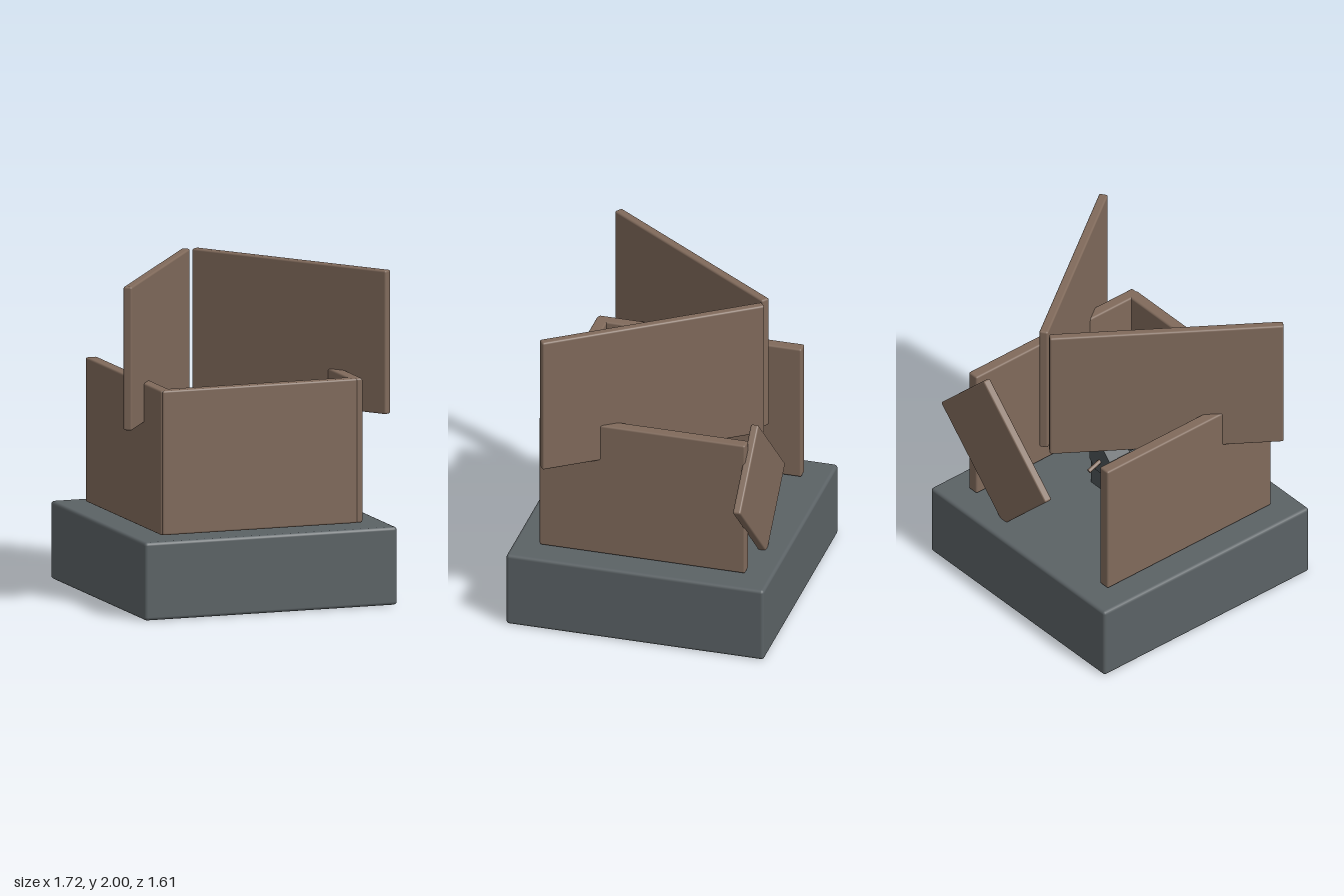
import * as THREE from 'three';
import { RoundedBoxGeometry } from 'three/addons/geometries/RoundedBoxGeometry.js';

export function createModel() {
  const group = new THREE.Group();
  const material = (name, color, flat = false) => {
    const m = new THREE.MeshStandardMaterial({ color, flatShading: flat });
    m.name = name;
    return m;
  };
  const stone = material('stone', 0x5b6265);
  const wood = material('wood', 0x806a5b);
  const iron = material('iron', 0x4c5356, true);

  const add = (name, geometry, mat, x, y, z) => {
    const mesh = new THREE.Mesh(geometry, mat);
    mesh.name = name;
    mesh.position.set(x, y, z);
    group.add(mesh);
    return mesh;
  };
  const slab = (name, mat, size, pos, r = 0.012) =>
    add(name, new RoundedBoxGeometry(...size, 2, r), mat, ...pos);

  // Foundation
  slab('foundation', stone, [1.62, 0.475, 1.61], [-0.008, 0.2375, -0.003], 0.02);

  // Three walls, open at the back, standing just above the foundation
  slab('rightWall', wood, [0.075, 0.88, 1.285], [-0.618, 0.925, -0.003]);
  slab('leftWall', wood, [0.075, 0.88, 1.285], [0.603, 0.925, -0.003]);
  slab('frontWall', wood, [1.25, 0.88, 0.075], [-0.02, 0.925, 0.608]);

  // Two upright roof panels meeting in a V at the back
  for (const side of [-1, 1]) {
    const panel = slab(side < 0 ? 'rightRoofPanel' : 'leftRoofPanel', wood,
      [1.41, 0.875, 0.055], [side * 0.432 - 0.008, 1.5625, -0.003]);
    panel.rotation.y = -side * THREE.MathUtils.degToRad(55);
  }

  // Door leaning across the back opening
  slab('door', wood, [0.82, 0.566, 0.05], [0.37, 0.93, -0.655]).rotation.z = Math.PI / 4;

  // Machine stand with chamfered shoulders
  const profile = new THREE.Shape([
    [-0.232, 0], [0.232, 0], [0.232, 0.21], [0.143, 0.3], [-0.143, 0.3], [-0.232, 0.21],
  ].map(p => new THREE.Vector2(...p)));
  const stand = new THREE.ExtrudeGeometry(profile, { depth: 0.065, bevelEnabled: false });
  add('stand', stand, iron, -0.01, 0.47, -0.035);

  // Hub and barrel along z
  const hub = new THREE.CylinderGeometry(0.1, 0.1, 0.16, 8).rotateY(Math.PI / 8).rotateX(Math.PI / 2);
  add('hub', hub, iron, -0.01, 0.84, -0.085);
  const barrel = new THREE.CylinderGeometry(0.042, 0.042, 0.4, 8).rotateX(Math.PI / 2);
  add('barrel', barrel, iron, -0.01, 0.85, 0.19);

  // Wooden rod passing through the hub, rising toward the front
  const rod = new THREE.CylinderGeometry(0.013, 0.013, 0.41, 8).rotateX(Math.PI / 2);
  add('rod', rod, wood, -0.01, 0.87, -0.058).rotation.x = -0.35;

  return group;
}
